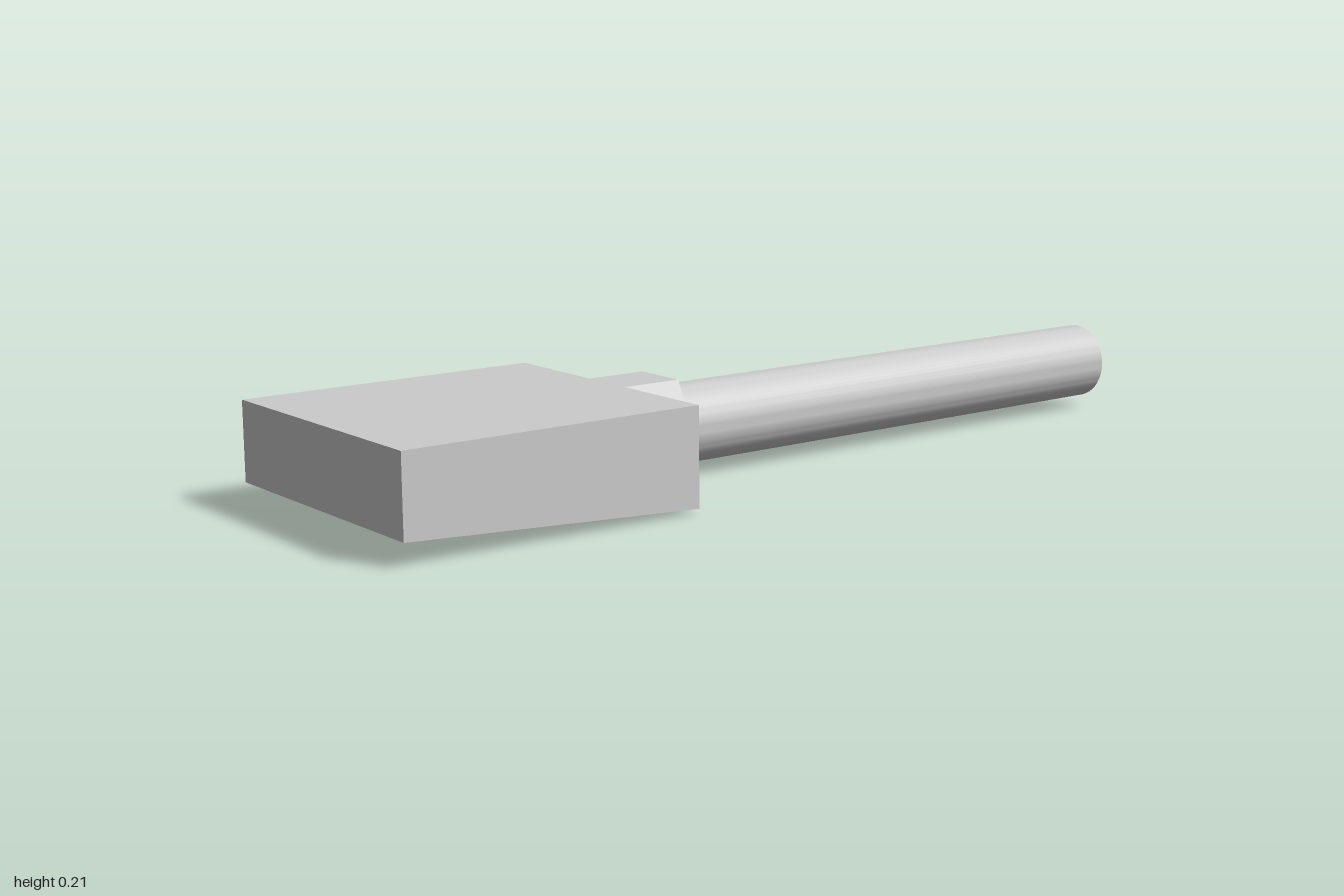
import * as THREE from 'three';
import { toCreasedNormals } from 'three/addons/utils/BufferGeometryUtils.js';

const AXIS_Y = 0.104; // height of the shaft axis

export function createModel() {
  const group = new THREE.Group();
  const smooth = new THREE.MeshStandardMaterial({ color: 0xcccccc });
  const flat = new THREE.MeshStandardMaterial({ color: 0xcccccc, flatShading: true });

  const add = (name, geometry, material) => {
    const mesh = new THREE.Mesh(geometry, material);
    mesh.name = name;
    group.add(mesh);
    return mesh;
  };

  // Flat head: side profile (z, y) with a rising underside, extruded across x
  const width = 0.59;
  const profile = new THREE.Shape([
    new THREE.Vector2(-1, 0.047),
    new THREE.Vector2(-0.36, 0.008),
    new THREE.Vector2(-0.36, 0.208),
    new THREE.Vector2(-1, 0.208),
  ]);
  const head = new THREE.ExtrudeGeometry(profile, { depth: width, bevelEnabled: false });
  head.translate(0, 0, -width / 2);
  head.rotateY(Math.PI / 2); // profile -x becomes +z
  add('wedgeHead', head, flat);

  // Hexagonal collar with flats on top and bottom
  const collarLength = 0.14;
  const collar = new THREE.CylinderGeometry(0.12, 0.12, collarLength, 6, 1, false, Math.PI / 6);
  collar.rotateX(Math.PI / 2);
  add('hexCollar', collar, flat).position.set(0, AXIS_Y, 0.23 + collarLength / 2);

  // Hollow shaft running back from the collar
  const ring = new THREE.Shape().absarc(0, 0, 0.083, 0, Math.PI * 2, false);
  ring.holes.push(new THREE.Path().absarc(0, 0, 0.042, 0, Math.PI * 2, true));
  const tube = new THREE.ExtrudeGeometry(ring, { depth: 1.23, bevelEnabled: false, curveSegments: 32 });
  add('hollowShaft', toCreasedNormals(tube, 0.6), smooth).position.set(0, AXIS_Y, -1);

  return group;
}
